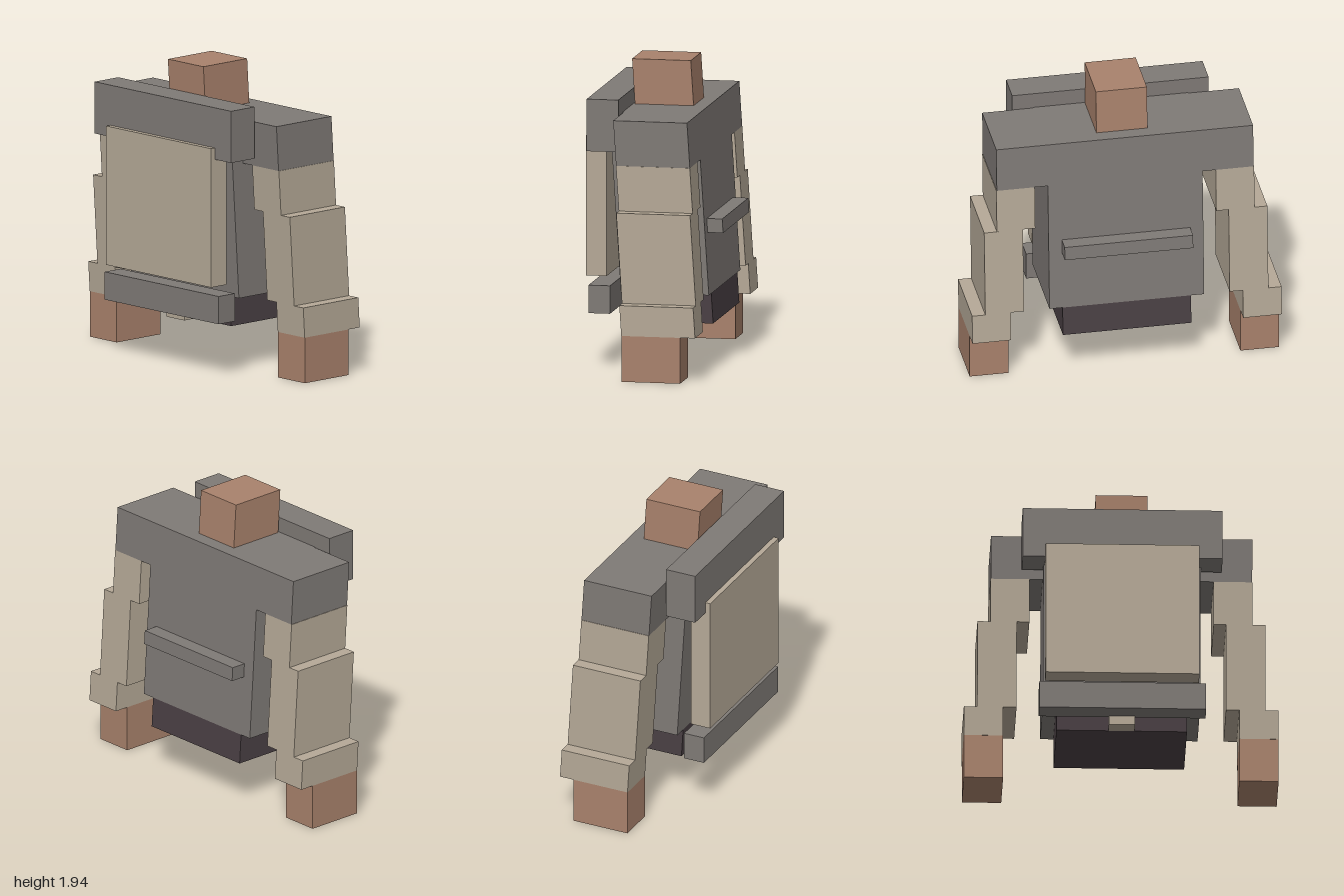
import * as THREE from 'three';

export function createModel() {
  const mat = (name, color) => {
    const m = new THREE.MeshStandardMaterial({ color });
    m.name = name;
    return m;
  };
  const grey = mat('grey', 0x7f7a76);
  const tan = mat('tan', 0xb5a997);
  const skin = mat('skin', 0xa9826c);
  const dark = mat('darkPlum', 0x4a4044);

  const model = new THREE.Group();
  model.name = 'figure';

  // Box from its limits; a lean slides each height along z, relative to y = 1.65
  const LEAN = 0.064;
  function block(parent, name, material, [x0, x1], [y0, y1], [z0, z1], lean = 0) {
    const g = new THREE.BoxGeometry(x1 - x0, y1 - y0, z1 - z0);
    g.translate((x0 + x1) / 2, (y0 + y1) / 2, (z0 + z1) / 2);
    if (lean) {
      const p = g.attributes.position;
      for (let i = 0; i < p.count; i++) p.setZ(i, p.getZ(i) + lean * (p.getY(i) - 1.65));
      g.computeVertexNormals();
    }
    const mesh = new THREE.Mesh(g, material);
    mesh.name = name;
    parent.add(mesh);
    return mesh;
  }

  // Leaning body
  block(model, 'head', skin, [-0.165, 0.165], [1.65, 1.94], [-0.197, 0.183], LEAN);
  block(model, 'shoulders', grey, [-0.83, 0.83], [1.36, 1.65], [-0.29, 0.188], LEAN);
  block(model, 'upperChest', grey, [-0.5, 0.5], [1.36, 1.65], [0.188, 0.28], LEAN);
  block(model, 'torso', grey, [-0.5, 0.5], [0.49, 1.36], [-0.29, 0.28], LEAN);
  block(model, 'hips', dark, [-0.415, 0.415], [0.295, 0.49], [-0.288, 0.28], LEAN);
  block(model, 'backHandle', grey, [-0.415, 0.415], [0.88, 0.97], [-0.39, -0.29], LEAN);

  // Stepped arms with straight hands
  for (const [side, s] of [['left', 1], ['right', -1]]) {
    const arm = new THREE.Group();
    arm.name = side + 'Arm';
    const span = (a, b) => (s > 0 ? [a, b] : [-b, -a]);
    block(arm, 'upperArm', tan, span(0.585, 0.833), [1.07, 1.36], [-0.29, 0.188], LEAN);
    block(arm, 'forearm', tan, span(0.665, 0.915), [0.49, 1.07], [-0.29, 0.188], LEAN);
    block(arm, 'cuff', tan, span(0.75, 1), [0.295, 0.49], [-0.29, 0.188], LEAN);
    block(arm, 'hand', skin, span(0.75, 1), [0, 0.295], [-0.28, 0.1]);
    model.add(arm);
  }

  // Upright front gear
  block(model, 'collarBar', grey, [-0.635, 0.635], [1.415, 1.75], [0.195, 0.4]);
  block(model, 'chestPanel', tan, [-0.49, 0.487], [0.59, 1.49], [0.3, 0.435]);
  block(model, 'beltBar', grey, [-0.53, 0.53], [0.355, 0.535], [0.27, 0.41]);
  block(model, 'beltMount', tan, [-0.085, 0.082], [0.295, 0.49], [0.19, 0.29]);
  for (const y of [0.68, 0.975, 1.265]) {
    block(model, 'panelMount', tan, [-0.085, 0.082], [y, y + 0.097], [0.2, 0.3]);
  }
  return model;
}
